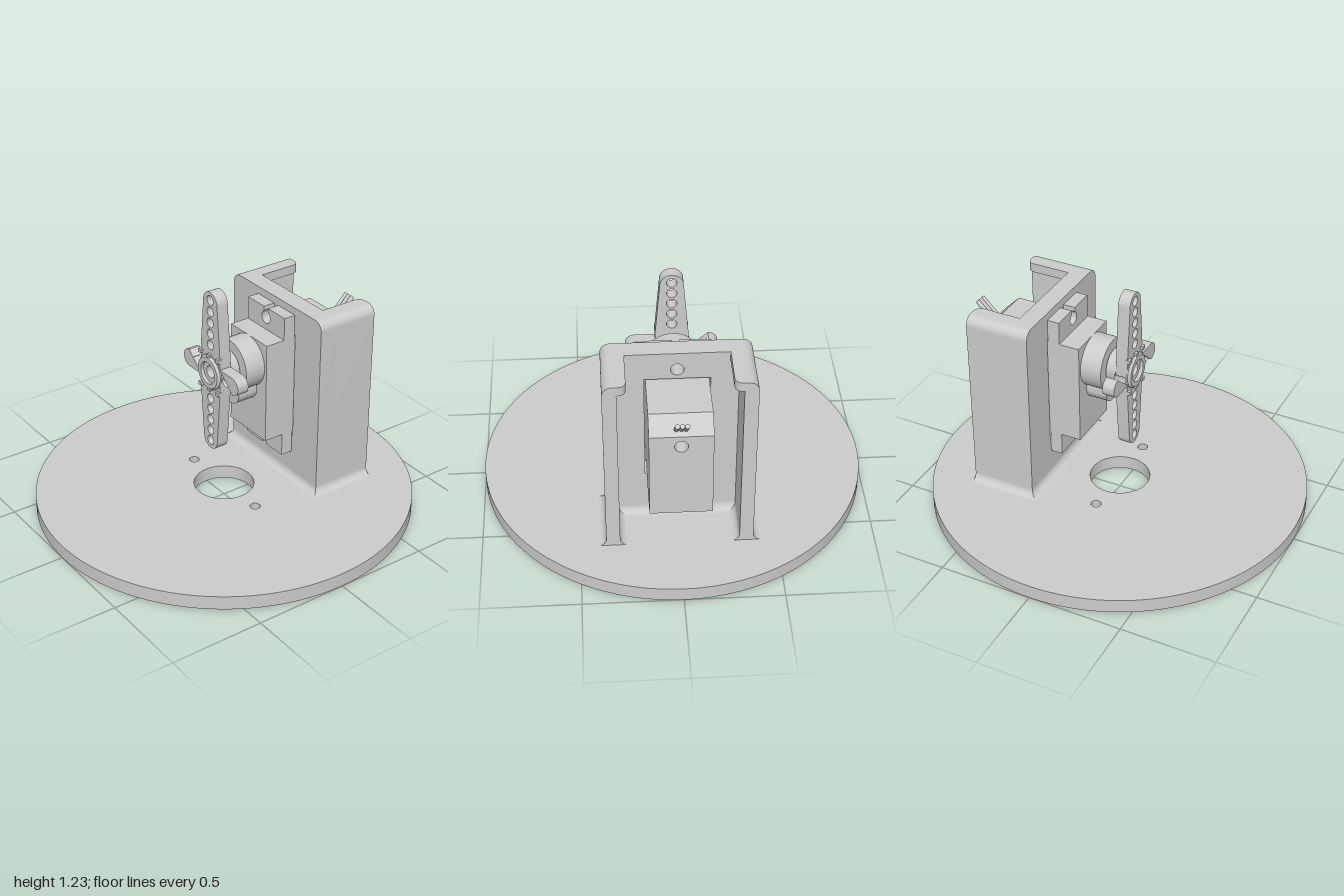
import * as THREE from 'three';
import { toCreasedNormals } from 'three/addons/utils/BufferGeometryUtils.js';

const MATERIAL = new THREE.MeshStandardMaterial({ color: 0xcccccc });
const AXIS_Y = 0.775; // height of the output shaft
const BASE_TOP = 0.075;

export function createModel() {
  const model = new THREE.Group();

  function add(name, geometry, x = 0, y = 0, z = 0) {
    const mesh = new THREE.Mesh(toCreasedNormals(geometry, 0.6), MATERIAL);
    mesh.name = name;
    mesh.position.set(x, y, z);
    model.add(mesh);
    return mesh;
  }
  const extrude = (shape, depth) =>
    new THREE.ExtrudeGeometry(shape, { depth, bevelEnabled: false, curveSegments: 24 });
  const polygon = (pts) => new THREE.Shape(pts.map(([x, y]) => new THREE.Vector2(x, y)));
  const rect = (x0, y0, x1, y1) => polygon([[x0, y0], [x1, y0], [x1, y1], [x0, y1]]);
  const disc = (r) => new THREE.Shape().absarc(0, 0, r, 0, Math.PI * 2, false);
  function hole(shape, x, y, r) {
    shape.holes.push(new THREE.Path().absarc(x, y, r, 0, Math.PI * 2, true));
  }

  // Round base plate with a centre hole and two screw holes
  const base = disc(1);
  hole(base, 0, 0, 0.16);
  for (const s of [-1, 1]) hole(base, s * 0.28, 0, 0.027);
  const baseGeo = new THREE.ExtrudeGeometry(base, { depth: BASE_TOP, bevelEnabled: false, curveSegments: 64 });
  add('basePlate', baseGeo.rotateX(-Math.PI / 2));

  // Bracket front wall with the servo opening and mounting holes
  const wall = new THREE.Shape();
  wall.moveTo(-0.37, BASE_TOP);
  wall.lineTo(0.37, BASE_TOP);
  wall.absarc(0.32, 1.03, 0.05, 0, Math.PI / 2, false);
  wall.absarc(-0.32, 1.03, 0.05, Math.PI / 2, Math.PI, false);
  wall.holes.push(rect(-0.162, 0.33, 0.162, 0.93));
  for (const y of [0.285, 0.985]) hole(wall, 0, y, 0.033);
  add('bracketFrontWall', extrude(wall, 0.1), 0, 0, -0.43);

  // Thin bracket sides, each with a lip turned inward along the top
  for (const s of [-1, 1]) {
    const side = new THREE.Shape();
    side.moveTo(s * 0.3, BASE_TOP);
    side.lineTo(s * 0.37, BASE_TOP);
    side.lineTo(s * 0.37, 1.03);
    side.absarc(s * 0.32, 1.03, 0.05, s > 0 ? 0 : Math.PI, Math.PI / 2, s < 0);
    side.lineTo(s * 0.3, 1.08);
    add('bracketSide', extrude(side, 0.245), 0, 0, -0.675);

    const lip = new THREE.Shape();
    lip.moveTo(s * 0.255, 0.43);
    lip.lineTo(s * 0.255, 0.63);
    lip.quadraticCurveTo(s * 0.255, 0.675, s * 0.3, 0.675);
    lip.lineTo(s * 0.3, 0.43);
    add('bracketLip', extrude(lip, 0.05).rotateX(-Math.PI / 2), 0, 1.03, 0);
  }

  // Concave fillets between bracket and base; the outer ones meet in mitres
  function fillet(length, mitreStart, mitreEnd, x, z, turn) {
    const r = 0.04;
    const shape = new THREE.Shape();
    shape.moveTo(0, 0);
    shape.lineTo(r, 0);
    shape.absarc(r, r, r, Math.PI * 1.5, Math.PI, true);
    const geo = extrude(shape, length);
    const p = geo.attributes.position;
    for (let i = 0; i < p.count; i++) {
      if (p.getZ(i) < 1e-4) { if (mitreStart) p.setZ(i, -p.getX(i)); }
      else if (mitreEnd) p.setZ(i, length + p.getX(i));
    }
    add('baseFillet', geo, x, BASE_TOP, z).rotation.y = turn;
  }
  fillet(0.345, false, true, 0.37, -0.675, 0);
  fillet(0.345, true, false, -0.37, -0.33, Math.PI);
  fillet(0.74, true, true, 0.37, -0.33, -Math.PI / 2);
  fillet(0.245, false, false, 0.3, -0.43, Math.PI);
  fillet(0.245, false, false, -0.3, -0.675, 0);
  fillet(0.6, false, false, -0.3, -0.43, Math.PI / 2);

  // Servo body: bored lower block and an upper block with a chamfered rear edge
  const body = rect(-0.155, 0.355, 0.155, 0.835);
  hole(body, 0, AXIS_Y, 0.033);
  add('servoBody', extrude(body, 0.6), 0, 0, -0.755);
  const cap = polygon([[0.155, 0.835], [0.755, 0.835], [0.675, 0.915], [0.155, 0.915]]);
  add('servoBodyTop', extrude(cap, 0.31).rotateY(Math.PI / 2), -0.155, 0, 0);

  // Mounting ears, each with a keyhole slot open to its outer edge
  for (const s of [-1, 1]) {
    const ear = new THREE.Shape();
    const half = 0.017, r = 0.035, a = Math.asin(half / r);
    ear.moveTo(-0.155, -0.07);
    ear.lineTo(0.155, -0.07);
    ear.lineTo(0.155, 0.055);
    ear.lineTo(half, 0.055);
    ear.absarc(0, 0, r, Math.PI / 2 - a, Math.PI / 2 + a - Math.PI * 2, true);
    ear.lineTo(-half, 0.055);
    ear.lineTo(-0.155, 0.055);
    const geo = extrude(ear, 0.065);
    if (s < 0) geo.rotateZ(Math.PI);
    add('mountingEar', geo, 0, 0.635 + s * 0.35, -0.33);
  }

  // Gear housing and output shaft
  function ring(name, outer, inner, y, z0, z1) {
    const shape = disc(outer);
    if (inner) hole(shape, 0, 0, inner);
    add(name, extrude(shape, z1 - z0), 0, y, z0);
  }
  ring('gearHousing', 0.14, 0.033, AXIS_Y, -0.155, -0.04);
  ring('smallGearHousing', 0.075, 0, 0.63, -0.155, -0.041);
  ring('outputShaft', 0.06, 0.033, AXIS_Y, -0.04, 0.085);

  // Control horn: long tapered blade and two short cross arms
  const blade = new THREE.Shape();
  blade.moveTo(0.085, -0.1);
  blade.lineTo(0.085, 0.1);
  blade.absarc(0, 0.39, 0.06, 0, Math.PI, false);
  blade.lineTo(-0.085, 0.1);
  blade.lineTo(-0.085, -0.1);
  blade.absarc(0, -0.392, 0.06, Math.PI, Math.PI * 2, false);
  hole(blade, 0, 0, 0.06);
  for (const s of [-1, 1])
    for (let i = 0; i < 5; i++) hole(blade, 0, s * (0.155 + i * 0.0625), 0.026);
  add('hornBlade', extrude(blade, 0.065), 0, AXIS_Y, 0.02);

  for (const s of [-1, 1]) {
    const arm = new THREE.Shape();
    arm.moveTo(0.08, -0.048);
    arm.absarc(0.19, 0, 0.048, -Math.PI / 2, Math.PI / 2, false);
    arm.lineTo(0.08, 0.048);
    for (const x of [0.133, 0.195]) hole(arm, x, 0, 0.028);
    const geo = extrude(arm, 0.065);
    if (s < 0) geo.rotateZ(Math.PI);
    add('hornCrossArm', geo, 0, AXIS_Y, 0.02);
  }

  // Horn hub: rear collar, chamfered front boss and small lugs
  ring('hornCollar', 0.09, 0.06, AXIS_Y, -0.035, 0.02);
  const boss = [[0.06, 0.08], [0.095, 0.08], [0.095, 0.09], [0.085, 0.103], [0.06, 0.103], [0.06, 0.08]];
  const bossGeo = new THREE.LatheGeometry(boss.map(([r, h]) => new THREE.Vector2(r, h)), 32);
  add('hornBoss', bossGeo.rotateX(Math.PI / 2), 0, AXIS_Y, 0);
  for (const x of [-0.075, 0, 0.075])
    for (const s of [-1, 1])
      add('hornLug', new THREE.BoxGeometry(0.024, 0.02, 0.025), x, AXIS_Y + s * 0.095, 0.0865);

  // Three wires leaving the rear chamfer at right angles
  for (const x of [-0.024, 0, 0.024]) {
    const wire = new THREE.CylinderGeometry(0.012, 0.012, 0.16, 12);
    add('wire', wire.rotateX(-Math.PI / 4), x, 0.896, -0.764);
  }

  return model;
}
